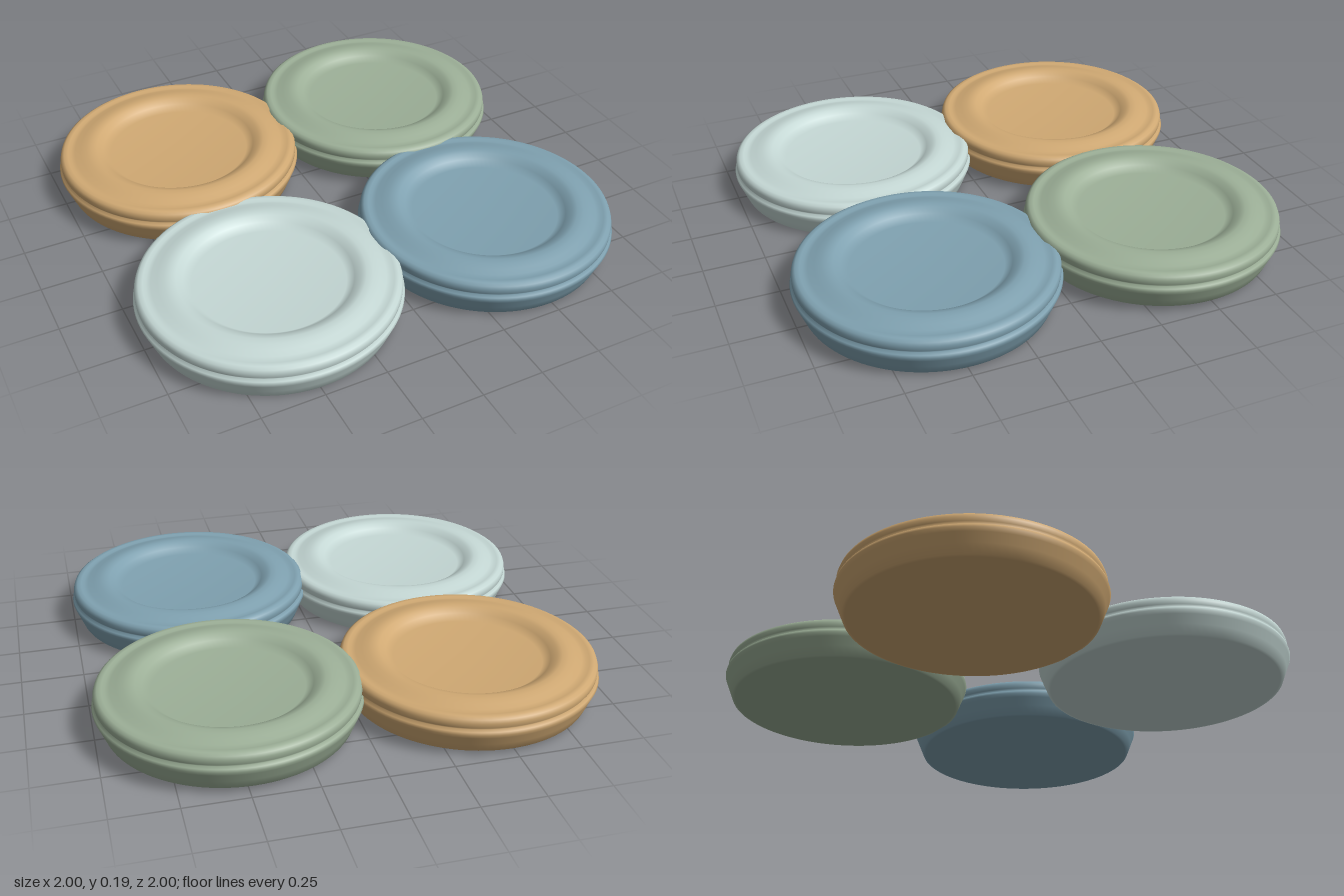
import * as THREE from 'three';

// Half cross-section of one plate: [radius, height] from underside centre to dish centre
const sections = [
  [0, 0], [0.47, 0], [0.482, 0.003], [0.497, 0.04], [0.511, 0.075], [0.517, 0.09], [0.514, 0.102],
  [0.503, 0.109], // groove below the bead
  [0.508, 0.117], [0.509, 0.135], [0.504, 0.149], [0.492, 0.157], [0.475, 0.158],
  [0.4625, 0.153], // groove inside the bead
  [0.445, 0.157], [0.42, 0.164], [0.395, 0.171], [0.37, 0.173], [0.35, 0.168], [0.325, 0.153], [0.295, 0.129],
  [0, 0.129], // flat dish floor
];

export function createModel() {
  const group = new THREE.Group();
  group.name = 'plateSet';
  const geometry = new THREE.LatheGeometry(sections.map(([r, y]) => new THREE.Vector2(r, y)), 96);

  // Four touching plates, each resting at a slightly different height
  const plates = [
    ['paleBlue', 0xc4d7d4, -0.482, 0, 0.48],
    ['slateBlue', 0x7fa1b0, 0.482, 0.007, 0.48],
    ['tan', 0xd0a973, -0.482, 0.013, -0.482],
    ['sageGreen', 0x9caf97, 0.482, 0.02, -0.482],
  ];
  for (const [name, color, x, y, z] of plates) {
    const material = new THREE.MeshStandardMaterial({ color });
    material.name = name;
    const plate = new THREE.Mesh(geometry, material);
    plate.name = name + 'Plate';
    plate.position.set(x, y, z);
    group.add(plate);
  }
  return group;
}
